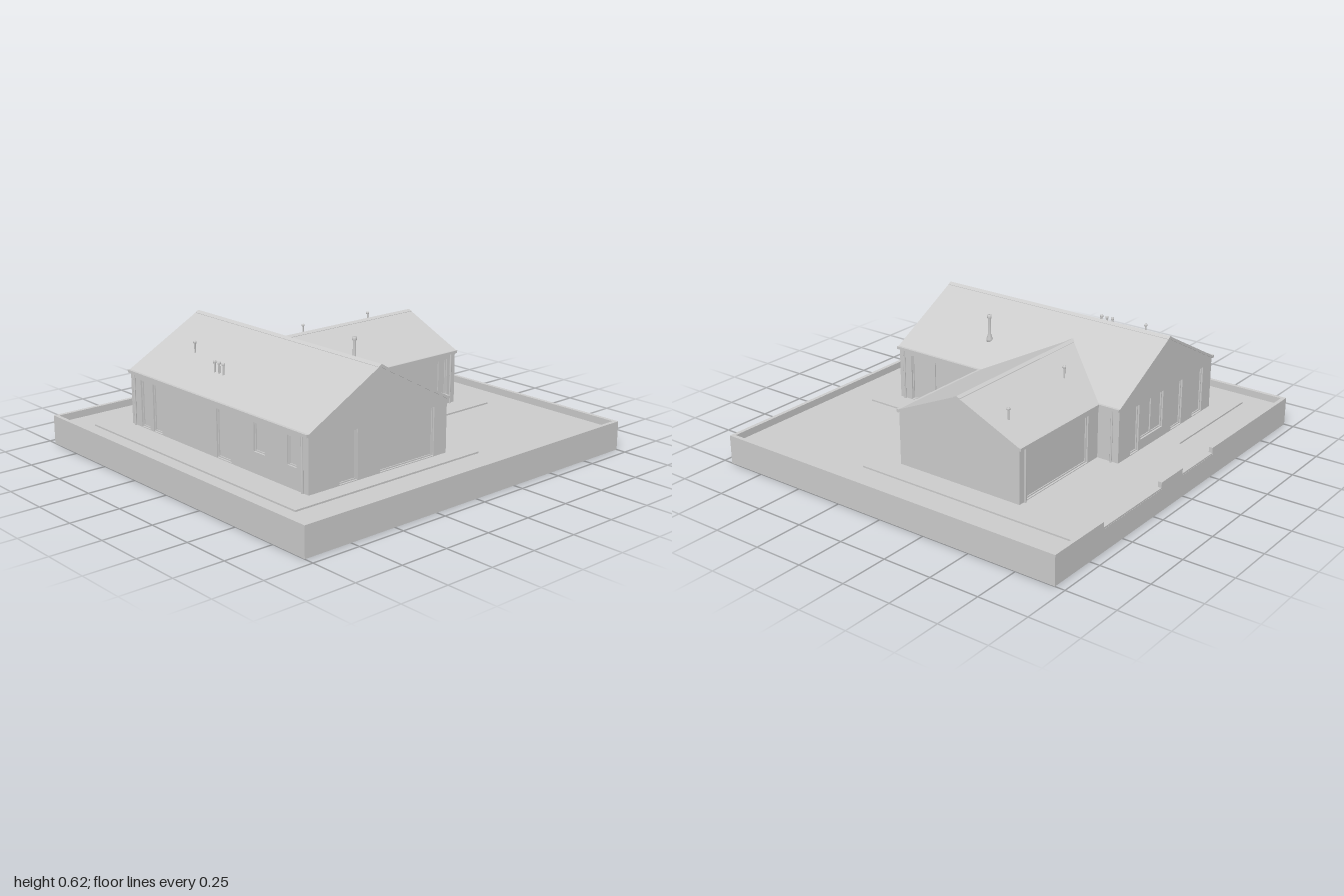
import * as THREE from 'three';

const BASE = 0.1, HEAD = 0.355, SILL = 0.122;
const MAIN = { x0: -0.73, x1: 0.1, z: 0.66, ridgeX: -0.315, ridgeY: 0.62, eaveY: 0.39 };
const WING = { x1: 0.7, z0: -0.545, z1: 0.135, ridgeZ: -0.205, ridgeY: 0.545, eaveY: 0.39 };

const material = new THREE.MeshStandardMaterial({ color: 0xcccccc, flatShading: true });
const smooth = new THREE.MeshStandardMaterial({ color: 0xcccccc });

function add(parent, name, geometry, mat = material) {
  const mesh = new THREE.Mesh(geometry, mat);
  mesh.name = name;
  parent.add(mesh);
  return mesh;
}

// Box given by its two extreme corners
function block(parent, name, x0, x1, y0, y1, z0, z1) {
  const mesh = add(parent, name, new THREE.BoxGeometry(x1 - x0, y1 - y0, z1 - z0));
  mesh.position.set((x0 + x1) / 2, (y0 + y1) / 2, (z0 + z1) / 2);
  return mesh;
}

const shapeOf = (pts) => new THREE.Shape(pts.map(([x, y]) => new THREE.Vector2(x, y)));
const extrude = (shape, depth) => new THREE.ExtrudeGeometry(shape, { depth, bevelEnabled: false });

// Wall in its own plane (u to the right seen from outside) with recessed doors and windows.
// Each opening: [u0, u1, sill, head, number of panes]
function wall(parent, name, x, z, turn, outline, openings = []) {
  const group = new THREE.Group();
  group.name = name;
  group.position.set(x, 0, z);
  group.rotation.y = turn;
  const shape = shapeOf(outline);
  const t = 0.02;
  for (const [u0, u1, y0, y1, panes] of openings) {
    shape.holes.push(new THREE.Path([[u0, y0], [u0, y1], [u1, y1], [u1, y0]].map((p) => new THREE.Vector2(...p))));
    block(group, 'pane', u0, u1, y0, y1, -t, -0.014);
    const f = 0.006;
    for (let i = 0; i <= panes; i++) {
      const u = u0 + (u1 - u0 - f) * (i / panes);
      block(group, 'frameUpright', u, u + f, y0, y1, -0.014, -0.008);
    }
    for (const y of [y0, y1 - f]) block(group, 'frameRail', u0, u1, y, y + f, -0.014, -0.009);
  }
  add(group, 'wallPanel', extrude(shape, t)).position.z = -t;
  parent.add(group);
  return group;
}

const rectangle = (u0, u1, top) => [[u0, BASE], [u1, BASE], [u1, top], [u0, top]];
const gable = (u0, u1, eave, mid, ridge) =>
  [[u0, BASE], [u1, BASE], [u1, eave], [mid, ridge], [u0, eave]];

// Pitched roof slab as a chevron section, extruded along local z
function roof(parent, name, u0, u1, mid, eave, ridge, length) {
  const t = 0.014;
  const group = new THREE.Group();
  group.name = name;
  add(group, 'roofSlopes', extrude(shapeOf([
    [u0, eave - t], [mid, ridge - t - 0.002], [u1, eave - t], [u1, eave], [mid, ridge - 0.002], [u0, eave],
  ]), length));
  const k = (ridge - eave) / (u1 - mid), w = 0.018;
  add(group, 'ridgeCap', extrude(shapeOf([
    [mid - w, ridge - k * w - 0.004], [mid + w, ridge - k * w - 0.004],
    [mid + w, ridge - k * w], [mid, ridge], [mid - w, ridge - k * w],
  ]), length));
  parent.add(group);
  return group;
}

// Upright round part from a [radius, height] profile
function turned(parent, name, x, y, z, profile) {
  const pts = profile.map(([r, h]) => new THREE.Vector2(r, h));
  add(parent, name, new THREE.LatheGeometry(pts, 12), smooth).position.set(x, y, z);
}

function downpipe(parent, x, z) {
  turned(parent, 'downpipe', x, BASE, z, [[0, 0], [0.005, 0], [0.005, 0.285], [0, 0.285]]);
}

function buildPlot(root) {
  const plot = new THREE.Group();
  plot.name = 'plot';
  root.add(plot);
  const top = 0.145, ground = 0.11;
  block(plot, 'lawn', -0.985, 0.985, 0.1, ground, -0.94, 0.94);
  // Perimeter wall, lower at the back where the entrances are
  block(plot, 'frontPlotWall', -1, 1, 0, top, 0.93, 0.95);
  for (const s of [-1, 1]) {
    const c = s * 0.99;
    block(plot, 'sidePlotWall', c - 0.01, c + 0.01, 0, top, -0.95, 0.95);
  }
  block(plot, 'backPlotWall', -1, 1, 0, ground, -0.95, -0.93);
  for (const [a, b] of [[-1, -0.26], [0.01, 0.19], [0.65, 1]]) {
    block(plot, 'backPlotWallTop', a, b, ground, top, -0.95, -0.93);
  }
  // Paved strip around the house, widening to the back entrances
  const paving = shapeOf([
    [-0.88, 0.75], [0.225, 0.75], [0.225, 0.26], [0.82, 0.26],
    [0.82, -0.949], [-0.26, -0.949], [-0.26, -0.77], [-0.88, -0.77],
  ].map(([x, z]) => [x, -z]));
  const mesh = add(plot, 'paving', extrude(paving, 0.012));
  mesh.rotation.x = -Math.PI / 2;
  mesh.position.y = 0.106;
}

function buildMainHouse(root) {
  const g = new THREE.Group();
  g.name = 'mainHouse';
  root.add(g);
  const { x0, x1, z, ridgeX, ridgeY, eaveY } = MAIN;
  const eave = eaveY - 0.008, ridge = ridgeY - 0.01;
  wall(g, 'frontGable', 0, z, 0, gable(x0, x1, eave, ridgeX, ridge), [
    [-0.555, -0.45, SILL, HEAD, 1], [-0.315, 0.02, SILL, HEAD, 1],
  ]);
  wall(g, 'backGable', 0, -z, Math.PI, gable(-x1, -x0, eave, -ridgeX, ridge), [
    [0, 0.07, SILL, HEAD, 1], [0.09, 0.28, 0.17, HEAD, 2],
    [0.36, 0.455, SILL, HEAD, 1], [0.56, 0.65, SILL, HEAD, 1],
  ]);
  wall(g, 'leftSideWall', x1, 0, Math.PI / 2, rectangle(-z, z, eave), [[-0.585, -0.295, SILL, HEAD, 2]]);
  wall(g, 'rightSideWall', x0, 0, -Math.PI / 2, rectangle(-z, z, eave), [
    [-0.58, -0.51, SILL, HEAD, 1], [-0.48, -0.41, SILL, HEAD, 1],
    [0.02, 0.125, SILL, HEAD, 1], [0.29, 0.37, 0.22, HEAD, 1], [0.52, 0.58, 0.22, HEAD, 1],
  ]);
  roof(g, 'mainRoof', x0 - 0.005, x1 + 0.005, ridgeX, eaveY, ridgeY, 1.33).position.z = -0.665;
  // Gutters stop where the wing joins
  block(g, 'gutter', -0.745, -0.729, 0.378, 0.392, -0.665, 0.665);
  block(g, 'gutter', 0.1, 0.115, 0.378, 0.392, 0.135, 0.665);
  block(g, 'gutter', 0.1, 0.115, 0.378, 0.392, -0.665, -0.55);
  for (const s of [-1, 1]) {
    downpipe(g, -0.736, s * 0.625);
    downpipe(g, 0.108, s * 0.625);
  }
}

function buildWing(root) {
  const g = new THREE.Group();
  g.name = 'wing';
  root.add(g);
  const { x1, z0, z1, ridgeZ, ridgeY, eaveY } = WING;
  const eave = eaveY - 0.008, ridge = ridgeY - 0.01;
  wall(g, 'wingFrontWall', 0, z1, 0, rectangle(0.09, x1, eave), [[0.545, 0.645, SILL, HEAD, 2]]);
  wall(g, 'wingBackWall', 0, z0, Math.PI, rectangle(-x1, -0.09, eave), [[-0.645, -0.18, SILL, HEAD, 1]]);
  wall(g, 'wingGable', x1, 0, Math.PI / 2, gable(-z1, -z0, eave, -ridgeZ, ridge));
  const top = roof(g, 'wingRoof', -z1 - 0.005, -z0 + 0.005, -ridgeZ, eaveY, ridgeY, 0.885);
  top.rotation.y = Math.PI / 2;
  top.position.x = -0.18;
  for (const z of [z0 - 0.005, z1 + 0.005]) {
    block(g, 'gutter', 0.1, 0.705, 0.378, 0.392, z - 0.007, z + 0.007);
    downpipe(g, 0.665, z);
  }
}

function buildRoofPipes(root) {
  const g = new THREE.Group();
  g.name = 'roofPipes';
  root.add(g);
  // Flue with a flared foot
  turned(g, 'flue', -0.06, 0.465, 0.21, [
    [0, 0], [0.016, 0], [0.016, 0.02], [0.008, 0.045], [0.008, 0.125],
    [0.011, 0.127], [0.011, 0.143], [0, 0.145],
  ]);
  // Capped vents: x, foot height, z, length
  const vents = [[-0.54, 0.48, -0.39, 0.075], [0.11, 0.46, -0.36, 0.075], [0.6, 0.44, -0.41, 0.07]];
  for (const [x, y, z, h] of vents) {
    turned(g, 'vent', x, y, z, [[0, 0], [0.004, 0], [0.004, h - 0.014], [0.008, h - 0.012], [0.008, h - 0.003], [0, h]]);
  }
  for (const z of [-0.155, -0.122, -0.09]) {
    turned(g, 'ventPipe', -0.6, 0.45, z, [[0, 0], [0.005, 0], [0.005, 0.055], [0.008, 0.057], [0.008, 0.067], [0, 0.07]]);
  }
}

export function createModel() {
  const root = new THREE.Group();
  root.name = 'house';
  buildPlot(root);
  buildMainHouse(root);
  buildWing(root);
  buildRoofPipes(root);
  return root;
}
